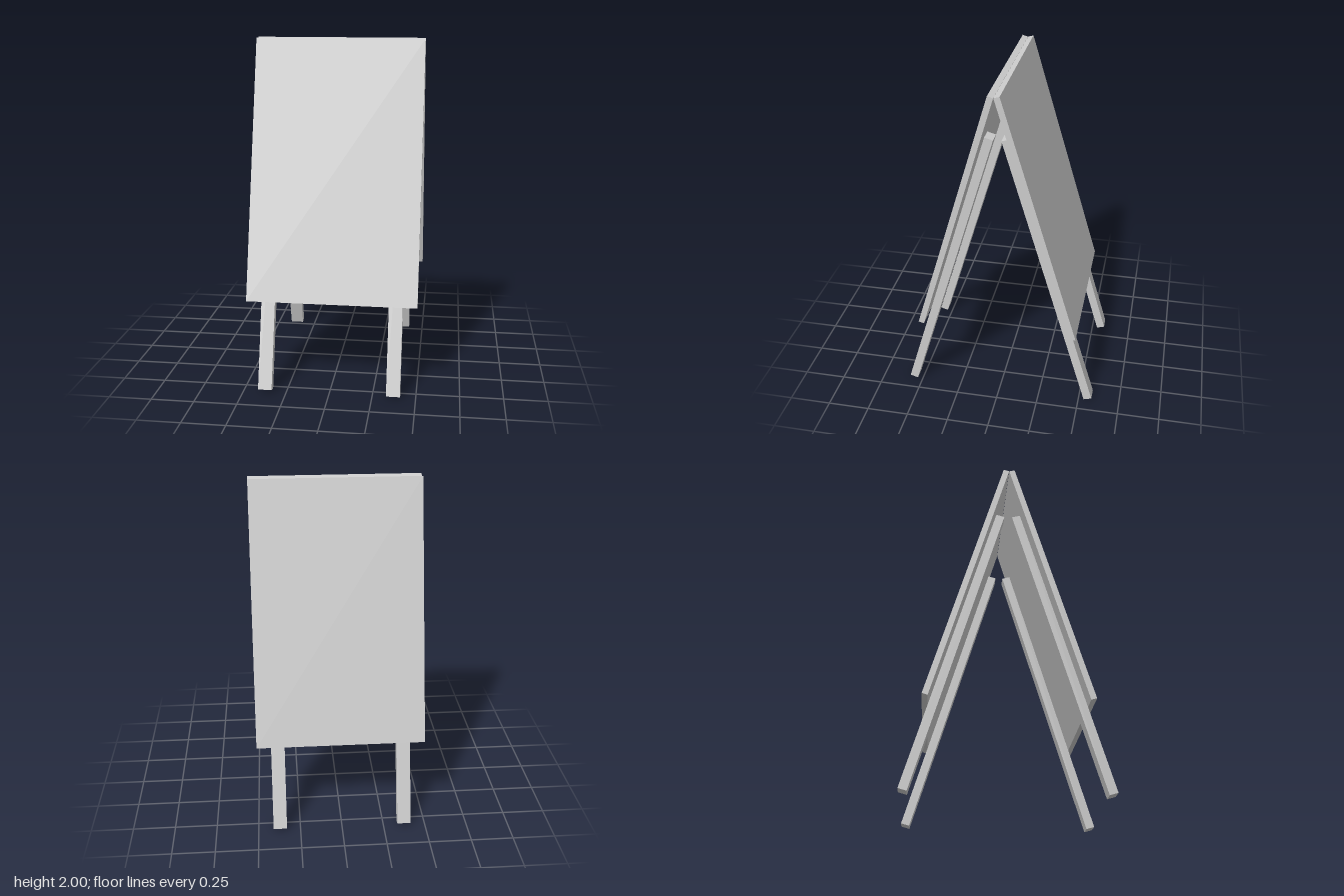
import * as THREE from 'three';

const TILT = Math.atan2(0.442, 1.485); // lean of each half from vertical

export function createModel() {
  const model = new THREE.Group();
  const material = new THREE.MeshStandardMaterial({ color: 0xcccccc, flatShading: true });

  // Slab leaning outward on one side; z, y give its upper outer edge
  function leaningSlab(name, side, x, z, y, width, length, thickness) {
    const mesh = new THREE.Mesh(new THREE.BoxGeometry(width, length, thickness), material);
    const s = Math.sin(TILT), c = Math.cos(TILT);
    const cz = z + (length / 2) * s - (thickness / 2) * c;
    const cy = y - (length / 2) * c - (thickness / 2) * s;
    mesh.position.set(x, cy, side * cz);
    mesh.rotation.x = -side * TILT;
    mesh.name = name;
    return mesh;
  }

  // Front and back halves meet along the top edge
  for (const [label, side] of [['front', 1], ['back', -1]]) {
    const half = new THREE.Group();
    half.name = label + 'Half';
    half.add(leaningSlab(label + 'Board', side, -0.001 * (side < 0 ? 1 : 0), 0.033, 2, 0.993, 1.549, 0.034));

    // Legs sit just behind the board and run down to the ground
    for (const [legSide, x] of [['Left', 0.371], ['Right', -0.374]]) {
      half.add(leaningSlab(label + legSide + 'Leg', side, x, 0.071, 1.727, 0.08, 1.787, 0.05));
    }
    model.add(half);
  }
  return model;
}
